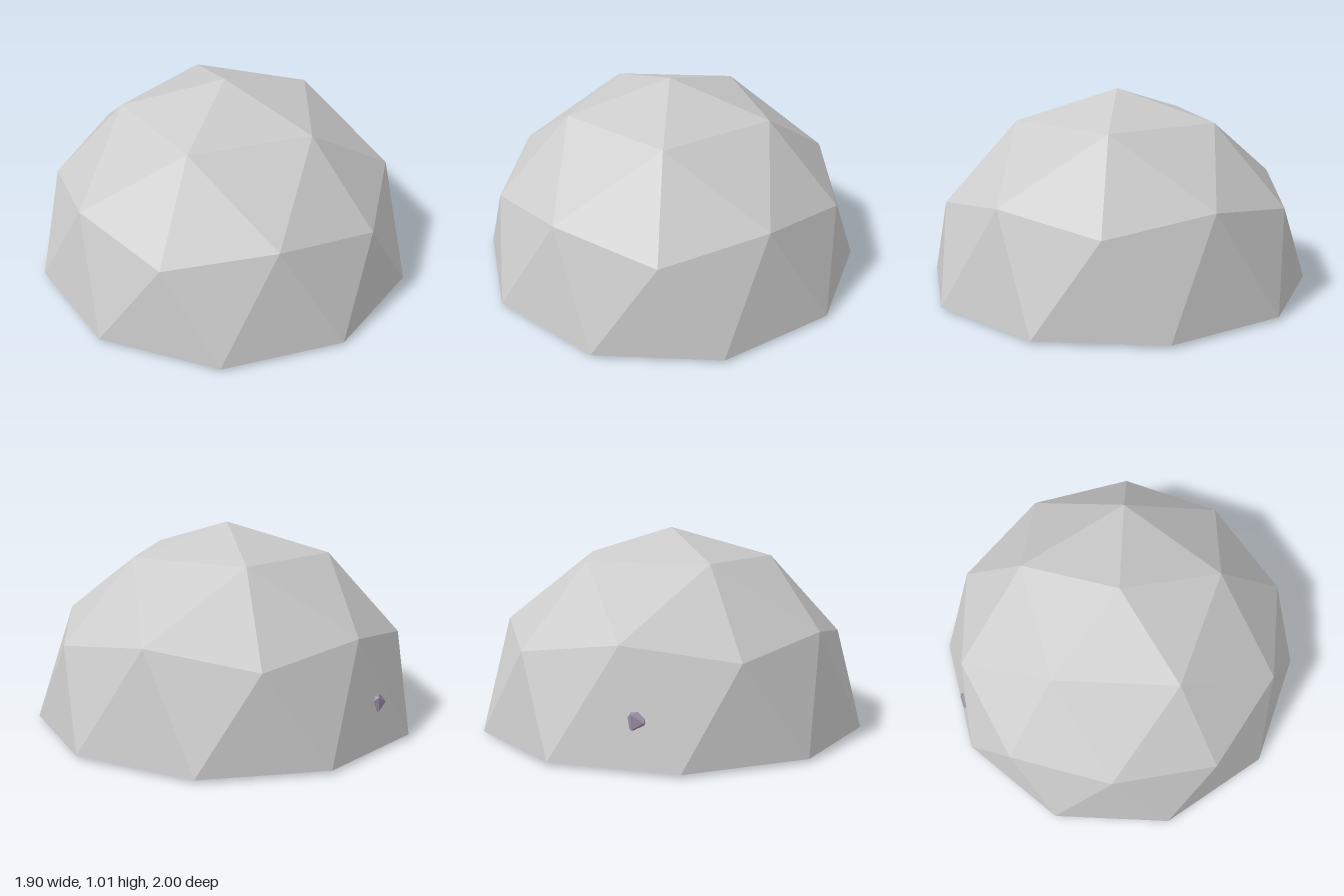
import * as THREE from 'three';

const BASE = 0.015;

function material(color) {
  return new THREE.MeshStandardMaterial({ color, flatShading: true, side: THREE.DoubleSide });
}

function mesh(name, geometry, mat, x = 0, y = 0, z = 0) {
  const m = new THREE.Mesh(geometry, mat);
  m.name = name;
  m.position.set(x, y, z);
  return m;
}

// Small seeded noise in 0..1
function seeded(seed) {
  return () => (seed = (seed * 16807) % 2147483647) / 2147483647;
}

// Non-indexed geometry from a list of corner points
function fromCorners(corners) {
  const geometry = new THREE.BufferGeometry().setFromPoints(corners);
  geometry.computeVertexNormals();
  return geometry;
}

// Two-frequency geodesic half sphere, apex up, built from its rings
function domeGeometry() {
  const at = (deg, y) => {
    const a = THREE.MathUtils.degToRad(deg), r = Math.sqrt(1 - y * y);
    return new THREE.Vector3(r * Math.cos(a), y, r * Math.sin(a));
  };
  const apex = new THREE.Vector3(0, 1, 0);
  const upper = (k) => at(72 * k, 0.8507);
  const middle = (j) => at(36 * j, j % 2 ? 0.5257 : 0.4472);
  const rim = (j) => at(18 + 36 * j, 0);
  const c = [];
  for (let k = 0; k < 5; k++) {
    c.push(apex, upper(k + 1), upper(k));
    c.push(upper(k), middle(2 * k + 1), middle(2 * k));
    c.push(upper(k), upper(k + 1), middle(2 * k + 1));
    c.push(upper(k + 1), middle(2 * k + 2), middle(2 * k + 1));
  }
  for (let j = 0; j < 10; j++) {
    c.push(middle(j), rim(j), rim(j + 9));
    c.push(middle(j), middle(j + 1), rim(j));
  }
  return fromCorners(c);
}

// Craggy ring of rock: an uneven footprint swept through a wall profile
function rockGeometry() {
  const rand = seeded(77);
  // footprint radius every 30 degrees
  const reach = [0.84, 0.83, 0.62, 0.4, 0.63, 0.78, 0.7, 0.58, 0.58, 0.7, 0.7, 0.73];
  // share of the radius, height
  const profile = [[0.95, 0.03], [1, 0.14], [0.95, 0.28], [0.8, 0.4], [0.65, 0.32], [0.58, 0.15], [0.55, 0.03]];
  const n = 48;
  const rings = profile.map(([share, height], level) => {
    const ring = [];
    for (let i = 0; i < n; i++) {
      const t = i / 4, k = Math.floor(t), f = t - k;
      const r = THREE.MathUtils.lerp(reach[k], reach[(k + 1) % 12], f);
      const rr = r * share * (0.93 + 0.1 * rand());
      const a = (i / n) * Math.PI * 2;
      const y = level % 6 === 0 ? height : height * r * (0.8 + 0.4 * rand());
      ring.push(new THREE.Vector3(rr * Math.cos(a), y, rr * Math.sin(a)));
    }
    return ring;
  });
  const c = [];
  for (let l = 0; l < rings.length - 1; l++) {
    for (let i = 0; i < n; i++) {
      const j = (i + 1) % n, lo = rings[l], hi = rings[l + 1];
      c.push(lo[i], hi[i], hi[j], lo[i], hi[j], lo[j]);
    }
  }
  return fromCorners(c);
}

export function createModel() {
  const model = new THREE.Group();
  model.name = 'geodesicDome';
  const grey = material(0xcccccc), rock = material(0x9a8ca4), earth = material(0x743c28);

  model.add(mesh('domeShell', domeGeometry(), grey, 0, BASE, 0));

  // Rectangular earth floor, turned under the dome
  const floor = mesh('earthFloor', new THREE.PlaneGeometry(1.41, 0.93).rotateX(-Math.PI / 2), earth, -0.05, BASE + 0.001, 0);
  floor.rotation.y = THREE.MathUtils.degToRad(-71);
  model.add(floor);

  // Rock wall standing on the floor
  const wall = mesh('rockWall', rockGeometry(), rock);
  wall.rotation.y = THREE.MathUtils.degToRad(140);
  model.add(wall);

  // Boulder whose tip just breaks through the shell
  model.add(mesh('boulder', new THREE.IcosahedronGeometry(0.065, 0), rock, -0.36, 0.22, -0.8));

  // Foot of the hollow showing as a thin outline under the floor
  const outline = [[0.09, 0.58], [0.22, 0.3], [0.17, -0.06], [0.06, -0.3], [-0.05, -0.52], [-0.28, -0.6],
    [-0.5, -0.5], [-0.48, -0.3], [-0.29, -0.1], [-0.36, 0.15], [-0.32, 0.42], [-0.12, 0.58]];
  const path = new THREE.CatmullRomCurve3(outline.map(([x, z]) => new THREE.Vector3(x, BASE - 0.001, z)), true);
  model.add(mesh('hollowOutline', new THREE.TubeGeometry(path, 72, 0.005, 5, true), rock));
  const sliver = mesh('hollowEdge', new THREE.SphereGeometry(1, 8, 6), rock, 0.19, 0.009, 0.1);
  sliver.scale.set(0.018, 0.009, 0.1);
  model.add(sliver);

  // Small earth ring and pebbles pressed into the floor
  model.add(mesh('earthRing', new THREE.TorusGeometry(0.045, 0.006, 5, 14).rotateX(Math.PI / 2), earth, -0.22, BASE - 0.003, -0.42));
  for (const [x, z] of [[0.02, -0.11], [0.04, 0.3], [-0.24, 0.23], [-0.06, 0.41], [-0.2, 0.14]]) {
    const pebble = mesh('pebble', new THREE.IcosahedronGeometry(0.018, 0), earth, x, BASE, z);
    pebble.scale.y = 0.35;
    model.add(pebble);
  }
  return model;
}
